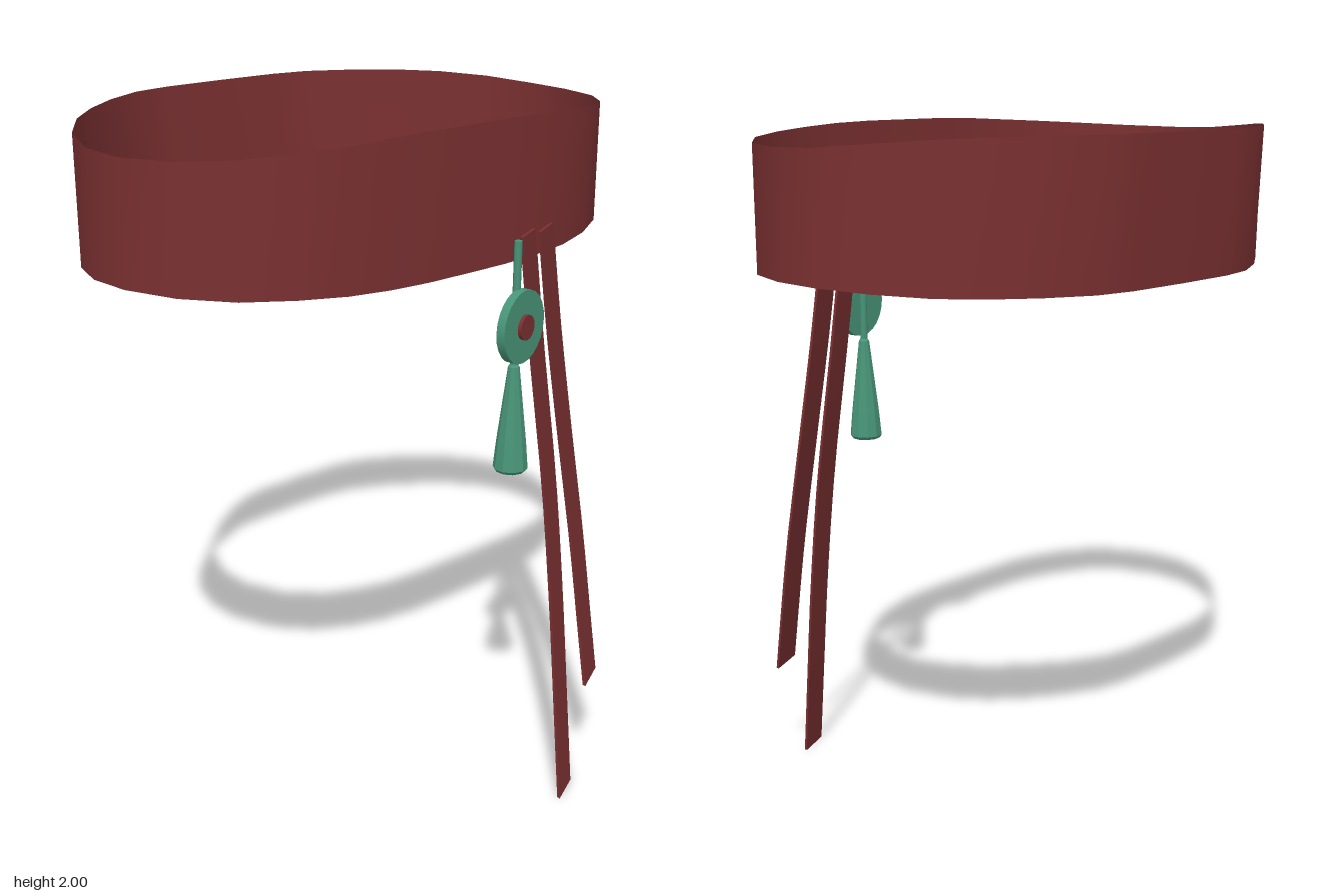
import * as THREE from 'three';

const red = new THREE.MeshStandardMaterial({ name: 'darkRedCloth', color: 0x7a3031, side: THREE.DoubleSide });
const jade = new THREE.MeshStandardMaterial({ name: 'jadeGreen', color: 0x489579 });

function add(parent, name, geometry, material) {
  const mesh = new THREE.Mesh(geometry, material);
  mesh.name = name;
  parent.add(mesh);
  return mesh;
}

// Waistband: mirrored half outline, rows [x, z, top y, bottom y]
function bandGeometry() {
  const half = [
    [0, 0.415, 2, 1.61], [0.14, 0.414, 2, 1.61], [0.27, 0.41, 1.997, 1.613],
    [0.4, 0.395, 1.99, 1.618], [0.53, 0.355, 1.983, 1.624], [0.66, 0.285, 1.975, 1.629],
    [0.76, 0.17, 1.968, 1.633], [0.813, 0.02, 1.965, 1.634], [0.813, -0.12, 1.968, 1.632],
    [0.76, -0.265, 1.98, 1.625], [0.67, -0.385, 1.99, 1.617], [0.57, -0.475, 1.995, 1.613],
    [0.45, -0.56, 1.997, 1.611], [0.32, -0.625, 1.998, 1.61], [0.2, -0.646, 1.998, 1.61],
    [0, -0.65, 1.998, 1.61],
  ];
  const mirrored = half.slice(1, -1).reverse().map(([x, z, t, b]) => [-x, z, t, b]);
  const loop = [...half, ...mirrored];
  const pos = [], index = [];
  loop.forEach(([x, z, top, bottom], i) => {
    // The back leans slightly outwards towards the top
    const lean = z < -0.4 ? 0.018 * Math.min(1, (-0.4 - z) / 0.2) : 0;
    pos.push(x, bottom, z + lean, x, top, z);
    const a = 2 * i, b = 2 * ((i + 1) % loop.length);
    index.push(a, b, b + 1, a, b + 1, a + 1);
  });
  const g = new THREE.BufferGeometry();
  g.setAttribute('position', new THREE.Float32BufferAttribute(pos, 3));
  g.setIndex(index);
  g.computeVertexNormals();
  return g;
}

// Hanging ribbon: a thin box bent along two edge curves
function ribbonGeometry(rows, width, depth) {
  const edge = (dx, dz) => new THREE.CatmullRomCurve3(
    rows.map(([x, y, z]) => new THREE.Vector3(x + dx, y, z + dz)));
  const left = edge(0, 0), right = edge(width, -depth);
  const g = new THREE.BoxGeometry(1, 1, 1, 1, 14, 1);
  const p = g.attributes.position;
  for (let i = 0; i < p.count; i++) {
    const t = 0.5 - p.getY(i);
    const v = left.getPoint(t).lerp(right.getPoint(t), p.getX(i) + 0.5);
    p.setXYZ(i, v.x, v.y, v.z + 0.01 * (p.getZ(i) - 0.5));
  }
  g.computeVertexNormals();
  return g;
}

export function createModel() {
  const model = new THREE.Group();
  model.name = 'sash';

  add(model, 'waistband', bandGeometry(), red);

  // Small fold behind the front of the band
  const fold = new THREE.Shape([
    new THREE.Vector2(-0.09, -0.412), new THREE.Vector2(0.09, -0.412), new THREE.Vector2(0, -0.385)]);
  const foldMesh = add(model, 'innerFold',
    new THREE.ExtrudeGeometry(fold, { depth: 0.18, bevelEnabled: false }), red);
  foldMesh.rotation.x = -Math.PI / 2;
  foldMesh.position.y = 1.612;

  // Two hanging ends
  add(model, 'longRibbon', ribbonGeometry([
    [0.155, 1.69, 0.465], [0.2, 1.35, 0.475], [0.232, 0.95, 0.515],
    [0.235, 0.6, 0.56], [0.222, 0.3, 0.606], [0.205, 0, 0.655]], 0.1, 0.045), red);
  add(model, 'shortRibbon', ribbonGeometry([
    [0.238, 1.69, 0.455], [0.278, 1.4, 0.465], [0.317, 1.1, 0.487],
    [0.338, 0.75, 0.54], [0.335, 0.52, 0.585], [0.322, 0.33, 0.632]], 0.108, 0.052), red);

  // Ornament hanging beside the ribbons
  const ornament = new THREE.Group();
  ornament.name = 'ornament';
  ornament.position.set(0.122, 0, 0.48);
  model.add(ornament);

  const cord = add(ornament, 'cord', new THREE.CylinderGeometry(0.011, 0.011, 0.36, 8), jade);
  cord.position.y = 1.51;

  const tassel = [[0, 1.036], [0.042, 1.036], [0.049, 1.045], [0.042, 1.12], [0.016, 1.34], [0, 1.36]]
    .map(([x, y]) => new THREE.Vector2(x, y));
  const tasselGeometry = new THREE.LatheGeometry(tassel, 10).toNonIndexed();
  tasselGeometry.computeVertexNormals();
  add(ornament, 'tassel', tasselGeometry, jade);

  // Round medallion turned slightly to the side
  const medallion = new THREE.Group();
  medallion.name = 'medallion';
  medallion.position.set(0.003, 1.457, 0.016);
  medallion.rotation.y = 0.2;
  ornament.add(medallion);
  const disc = add(medallion, 'disc', new THREE.CylinderGeometry(0.102, 0.102, 0.025, 24), jade);
  disc.rotation.x = Math.PI / 2;
  const stud = add(medallion, 'centreStud', new THREE.CylinderGeometry(0.035, 0.035, 0.02, 16), red);
  stud.rotation.x = Math.PI / 2;
  stud.position.z = 0.013;

  return model;
}
